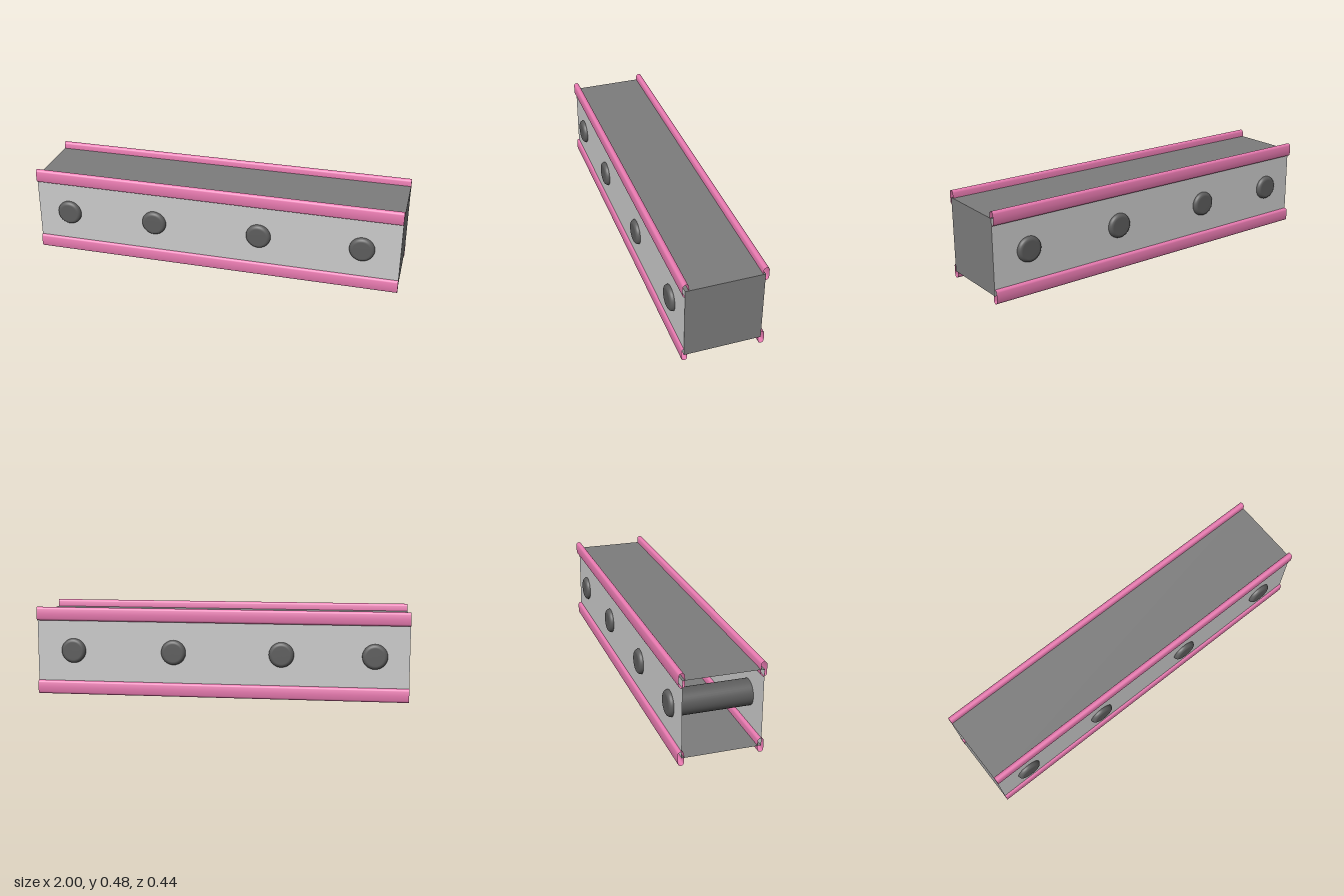
import * as THREE from 'three';

const LENGTH = 2, SIZE = 0.4, MID_Y = 0.24;

const material = (color) => new THREE.MeshStandardMaterial({ color, side: THREE.DoubleSide });

// Open-ended tube with a capsule cross-section, running along x
function railGeometry(halfHeight, radius) {
  const geometry = new THREE.CylinderGeometry(radius, radius, LENGTH, 32, 1, true);
  const pos = geometry.attributes.position;
  for (let i = 0; i < pos.count; i++) {
    const x = pos.getX(i);
    if (Math.abs(x) > 1e-5) pos.setX(i, x + Math.sign(x) * (halfHeight - radius));
  }
  return geometry.rotateZ(Math.PI / 2);
}

// Solid round pin with filleted ends, running along z
function pinGeometry(radius, halfLength, fillet) {
  const profile = [new THREE.Vector2(0, -halfLength)];
  for (const end of [-1, 1]) {
    for (let i = 0; i <= 6; i++) {
      const a = ((end < 0 ? i - 6 : i) / 6) * Math.PI / 2;
      profile.push(new THREE.Vector2(
        radius - fillet + fillet * Math.cos(a),
        end * (halfLength - fillet) + fillet * Math.sin(a)
      ));
    }
  }
  profile.push(new THREE.Vector2(0, halfLength));
  return new THREE.LatheGeometry(profile, 40).rotateX(Math.PI / 2);
}

export function createModel() {
  const model = new THREE.Group();
  const sideGrey = material(0xcccccc);
  const panelGrey = material(0x7d7d7d);
  const pinGrey = material(0x5d5d5d);
  const pink = material(0xe87ab0);

  const add = (name, geometry, mat, x, y, z) => {
    const mesh = new THREE.Mesh(geometry, mat);
    mesh.name = name;
    mesh.position.set(x, y, z);
    model.add(mesh);
    return mesh;
  };

  // Thin-walled box, open at the -x end
  const panel = new THREE.PlaneGeometry(LENGTH, SIZE);
  const half = SIZE / 2;
  add('frontPanel', panel, sideGrey, 0, MID_Y, half);
  add('backPanel', panel, sideGrey, 0, MID_Y, -half).rotation.y = Math.PI;
  add('topPanel', panel, panelGrey, 0, MID_Y + half, 0).rotation.x = -Math.PI / 2;
  add('bottomPanel', panel, panelGrey, 0, MID_Y - half, 0).rotation.x = Math.PI / 2;
  add('endPanel', new THREE.PlaneGeometry(SIZE, SIZE), panelGrey, LENGTH / 2, MID_Y, 0)
    .rotation.y = Math.PI / 2;

  // Rails along the four long edges
  const rail = railGeometry(0.037, 0.015);
  add('frontTopRail', rail, pink, 0, 0.442, 0.197);
  add('frontBottomRail', rail, pink, 0, 0.042, 0.197);
  add('backTopRail', rail, pink, 0, 0.44, -0.203);
  add('backBottomRail', rail, pink, 0, 0.037, -0.203);

  // Cross pins passing through both side panels
  const pin = pinGeometry(0.067, 0.222, 0.02);
  for (const x of [-0.82, -0.33, 0.25, 0.8]) add('crossPin', pin, pinGrey, x, 0.24, 0);

  return model;
}
